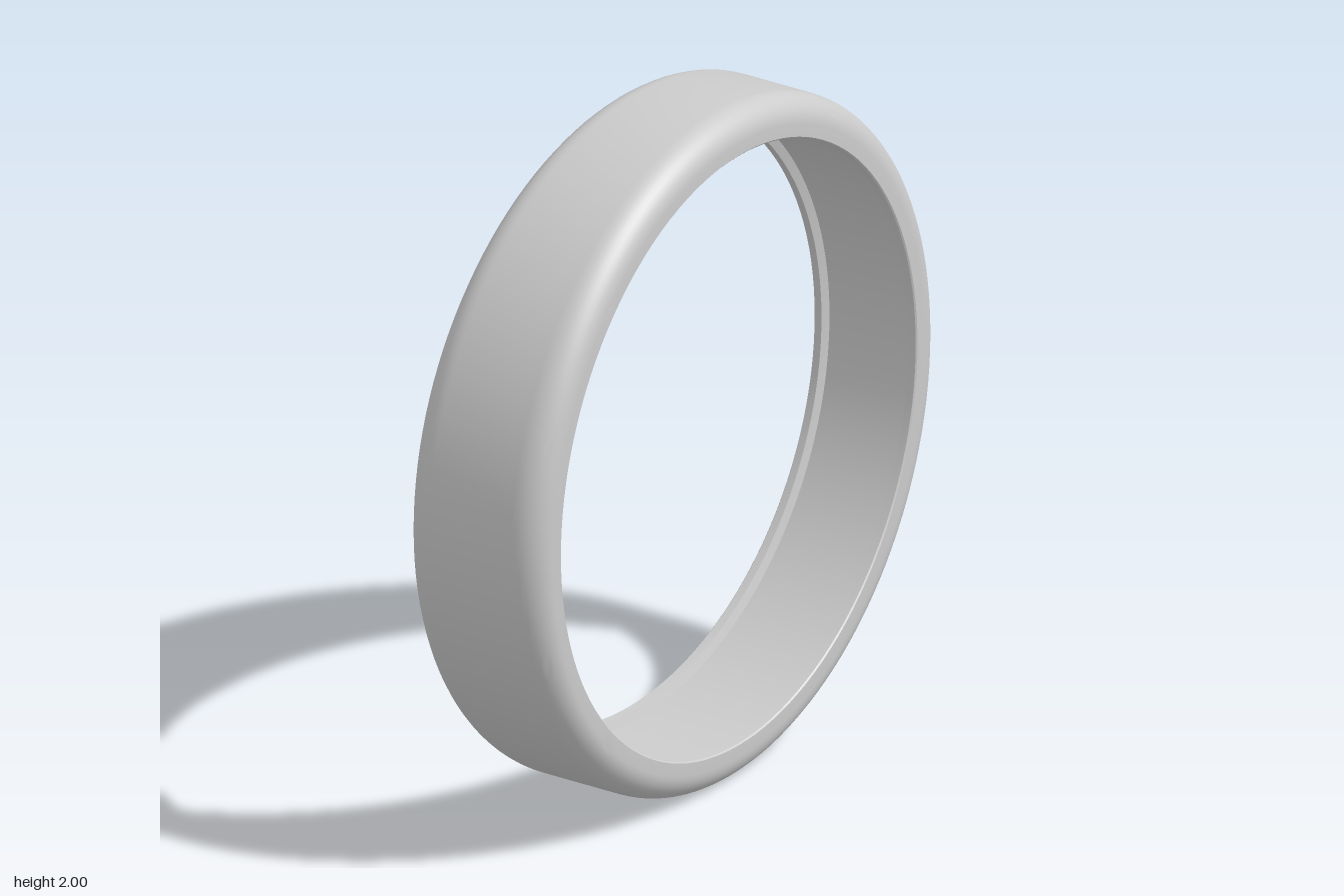
import * as THREE from 'three';
import { toCreasedNormals } from 'three/addons/utils/BufferGeometryUtils.js';

const OUTER = 1, INNER = 0.88, HALF = 0.2, CORNER = 0.08;
const LIP = 0.03, SCOOP = 0.025;

export function createModel() {
  const group = new THREE.Group();
  group.name = 'ring';

  // Half of the band's cross-section (radius, width), from outer middle to inner middle
  const half = [[OUTER, 0]];
  for (let i = 0; i <= 10; i++) {
    const a = (i / 10) * Math.PI / 2;
    half.push([OUTER - CORNER + CORNER * Math.cos(a), HALF - CORNER + CORNER * Math.sin(a)]);
  }
  half.push([INNER + 0.004, HALF], [INNER, HALF - 0.004], [INNER, HALF - LIP]);
  // Shallow recess between the two inner lips
  half.push([INNER + SCOOP, HALF - LIP - 0.01], [INNER + SCOOP, 0]);

  // Mirror to a closed loop
  const mirrored = half.slice(1, -1).reverse().map(([r, w]) => [r, -w]);
  const profile = [...half, ...mirrored, half[0]].map(([r, w]) => new THREE.Vector2(r, w));

  let band = new THREE.LatheGeometry(profile, 128);
  band.rotateZ(-Math.PI / 2);

  // Band is wider at the front than at the back
  const pos = band.attributes.position;
  for (let i = 0; i < pos.count; i++) {
    pos.setX(i, pos.getX(i) * (1 + 0.15 * pos.getZ(i)));
  }
  band.translate(0, 1, 0);
  band = toCreasedNormals(band, 0.6);

  const mesh = new THREE.Mesh(band, new THREE.MeshStandardMaterial({ color: 0xcccccc }));
  mesh.name = 'band';
  group.add(mesh);
  return group;
}
